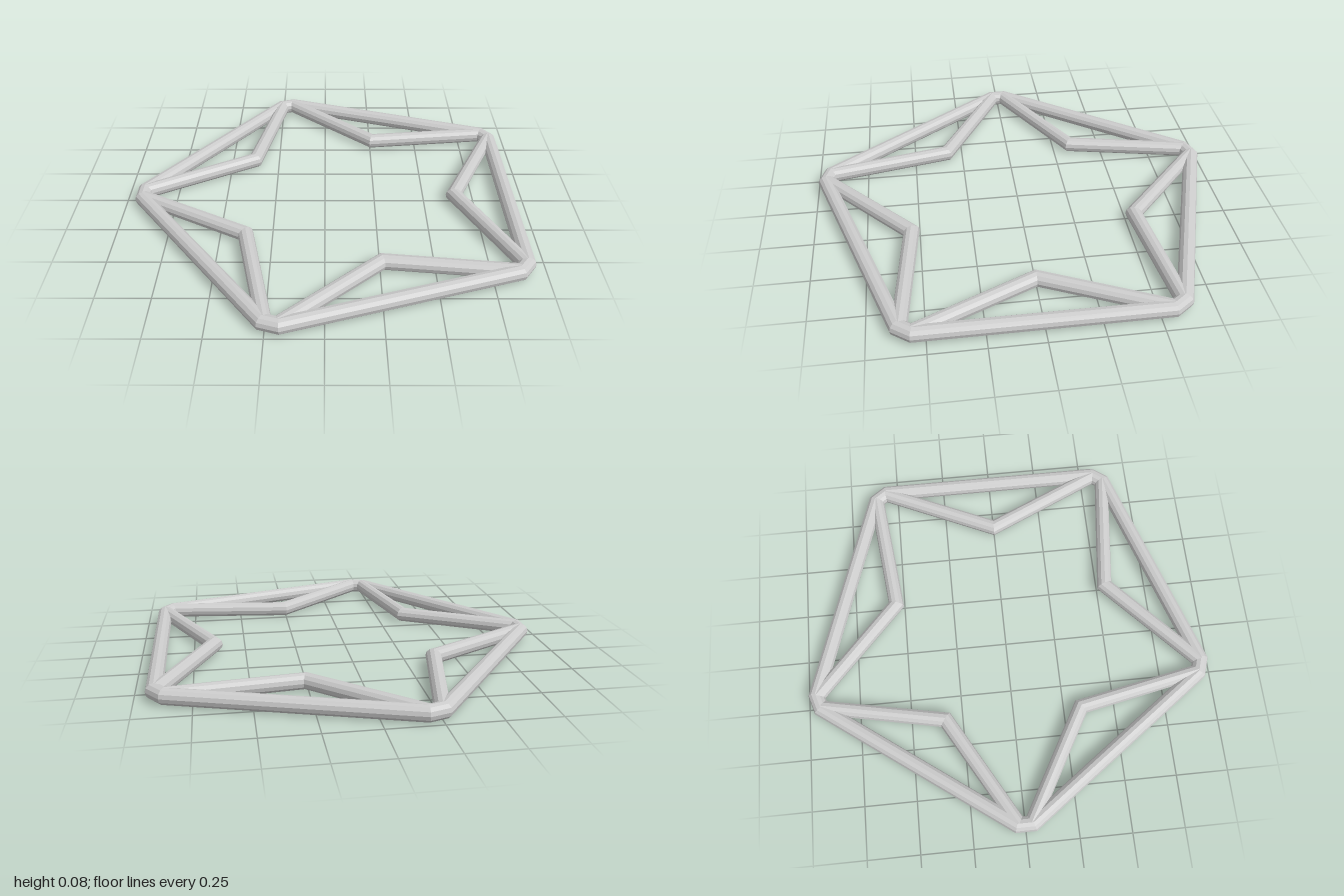
import * as THREE from 'three';

const R = 0.0375;      // tube radius
const SIDES = 12;
const CX = 0.084;      // centre of the five-fold pattern
const STEP = Math.PI * 2 / 5;

// Closed round tube along a flat polygon of [x, z] points, mitred at the corners
function mitredTube(points) {
  const n = points.length, pos = [], index = [];
  const dir = (a, b) => new THREE.Vector2(b[0] - a[0], b[1] - a[1]).normalize();
  points.forEach((p, i) => {
    const before = dir(points[(i + n - 1) % n], p);
    const after = dir(p, points[(i + 1) % n]);
    const t = before.clone().add(after).normalize();
    const mitre = Math.min(1 / t.dot(after), 1.1);
    for (let j = 0; j < SIDES; j++) {
      const a = j / SIDES * Math.PI * 2;
      const out = R * mitre * Math.cos(a);
      pos.push(p[0] + t.y * out, R + R * Math.sin(a), p[1] - t.x * out);
    }
  });
  for (let i = 0; i < n; i++) {
    for (let j = 0; j < SIDES; j++) {
      const k = (j + 1) % SIDES, next = (i + 1) % n;
      const a = i * SIDES + j, b = i * SIDES + k;
      const c = next * SIDES + j, d = next * SIDES + k;
      index.push(a, b, c, b, d, c);
    }
  }
  const g = new THREE.BufferGeometry();
  g.setAttribute('position', new THREE.Float32BufferAttribute(pos, 3));
  g.setIndex(index);
  g.computeVertexNormals();
  return g;
}

// Point at a distance along a direction, shifted sideways
const polar = (angle, dist, side = 0) => [
  CX + Math.cos(angle) * dist - Math.sin(angle) * side,
  Math.sin(angle) * dist + Math.cos(angle) * side,
];

export function createModel() {
  const group = new THREE.Group();
  group.name = 'starFrame';
  const material = new THREE.MeshStandardMaterial({ color: 0xcccccc, flatShading: true });

  const rim = [], star = [];
  for (let k = 0; k < 5; k++) {
    const a = Math.PI + k * STEP;
    // blunt tips shared by the rim and the star
    rim.push(polar(a, 0.9965, -0.038), polar(a, 0.9965, 0.038));
    star.push(polar(a, 0.9965, -0.029), polar(a, 0.9965, 0.029));
    // inner corner of the star
    star.push(polar(a + STEP / 2, 0.567));
  }

  const add = (name, points) => {
    const mesh = new THREE.Mesh(mitredTube(points), material);
    mesh.name = name;
    group.add(mesh);
  };
  add('pentagonRim', rim);
  add('innerStar', star);
  return group;
}
